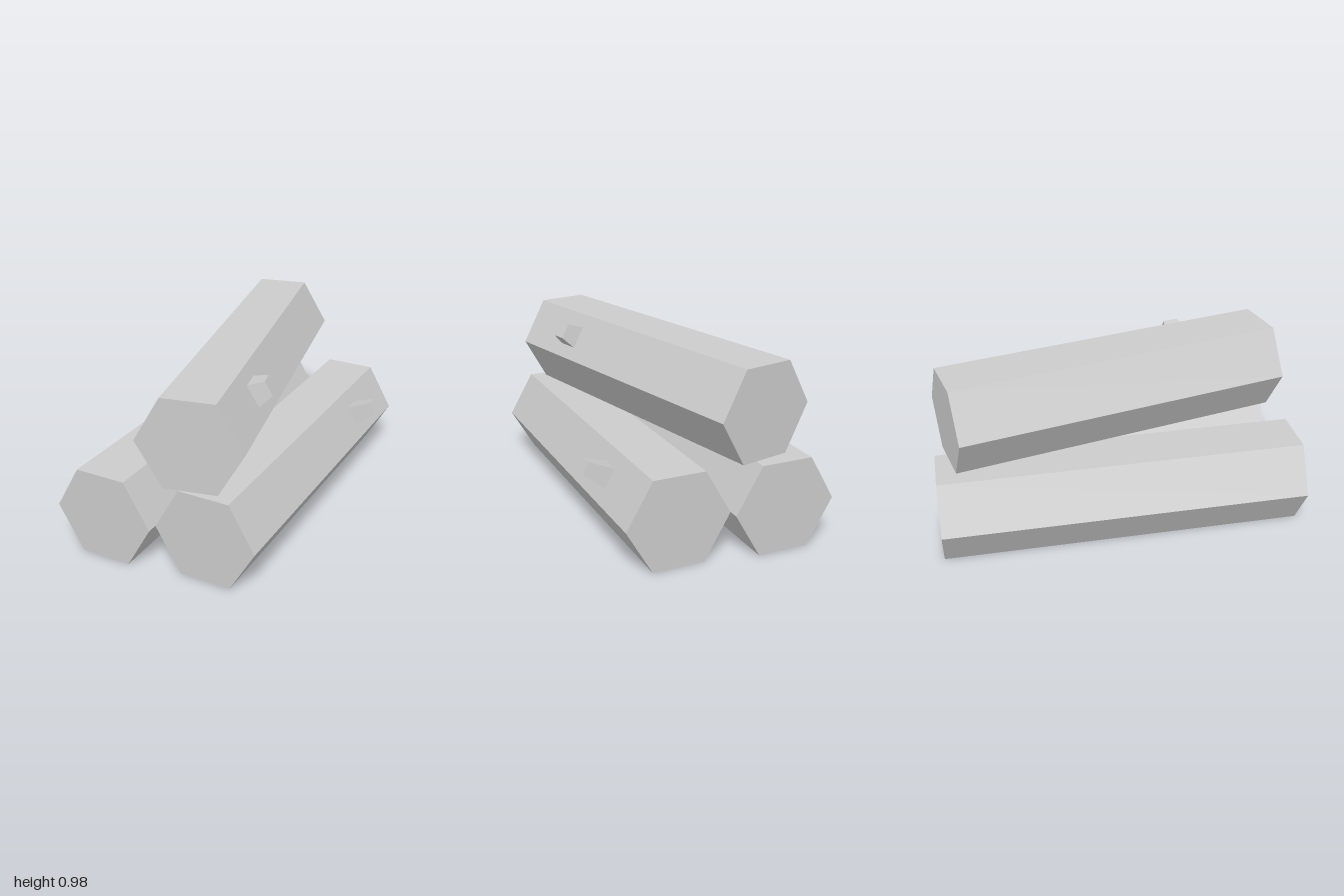
import * as THREE from 'three';

const R = 0.282;                       // log radius, corner to centre
const APOTHEM = R * Math.cos(Math.PI / 6);

const material = new THREE.MeshStandardMaterial({ color: 0xcccccc, flatShading: true });

// Hexagonal log along z, flat side down, with a cut branch on its upper +x face
function makeLog(name, length, stub) {
  const log = new THREE.Group();
  log.name = name;

  const trunkGeometry = new THREE.CylinderGeometry(R, R, length, 6);
  trunkGeometry.rotateY(Math.PI / 6).rotateX(Math.PI / 2);
  const trunk = new THREE.Mesh(trunkGeometry, material);
  trunk.name = 'trunk';
  log.add(trunk);

  if (stub) {
    // Tapered square peg standing on the face
    const g = new THREE.CylinderGeometry(stub.tip * Math.SQRT1_2, stub.base * Math.SQRT1_2, stub.height, 4);
    g.rotateY(Math.PI / 4).translate(0, APOTHEM + stub.height / 2, 0).rotateZ(-Math.PI / 3);
    const branch = new THREE.Mesh(g, material);
    branch.name = 'branchStub';
    branch.position.z = stub.z;
    log.add(branch);
  }
  return log;
}

export function createModel() {
  const model = new THREE.Group();
  model.name = 'logPile';

  const rightLog = makeLog('lowerRightLog', 2);
  rightLog.position.set(-0.32, APOTHEM, 0);

  const leftLog = makeLog('lowerLeftLog', 1.885, { base: 0.114, tip: 0.071, height: 0.138, z: -0.515 });
  leftLog.position.set(0.245, APOTHEM, 0);

  // Top log lies askew across the other two
  const topLog = makeLog('topLog', 1.888, { base: 0.13, tip: 0.085, height: 0.087, z: 0.495 });
  topLog.position.set(-0.036, APOTHEM * 3, 0);
  topLog.rotation.y = 0.212;

  model.add(rightLog, leftLog, topLog);
  return model;
}
